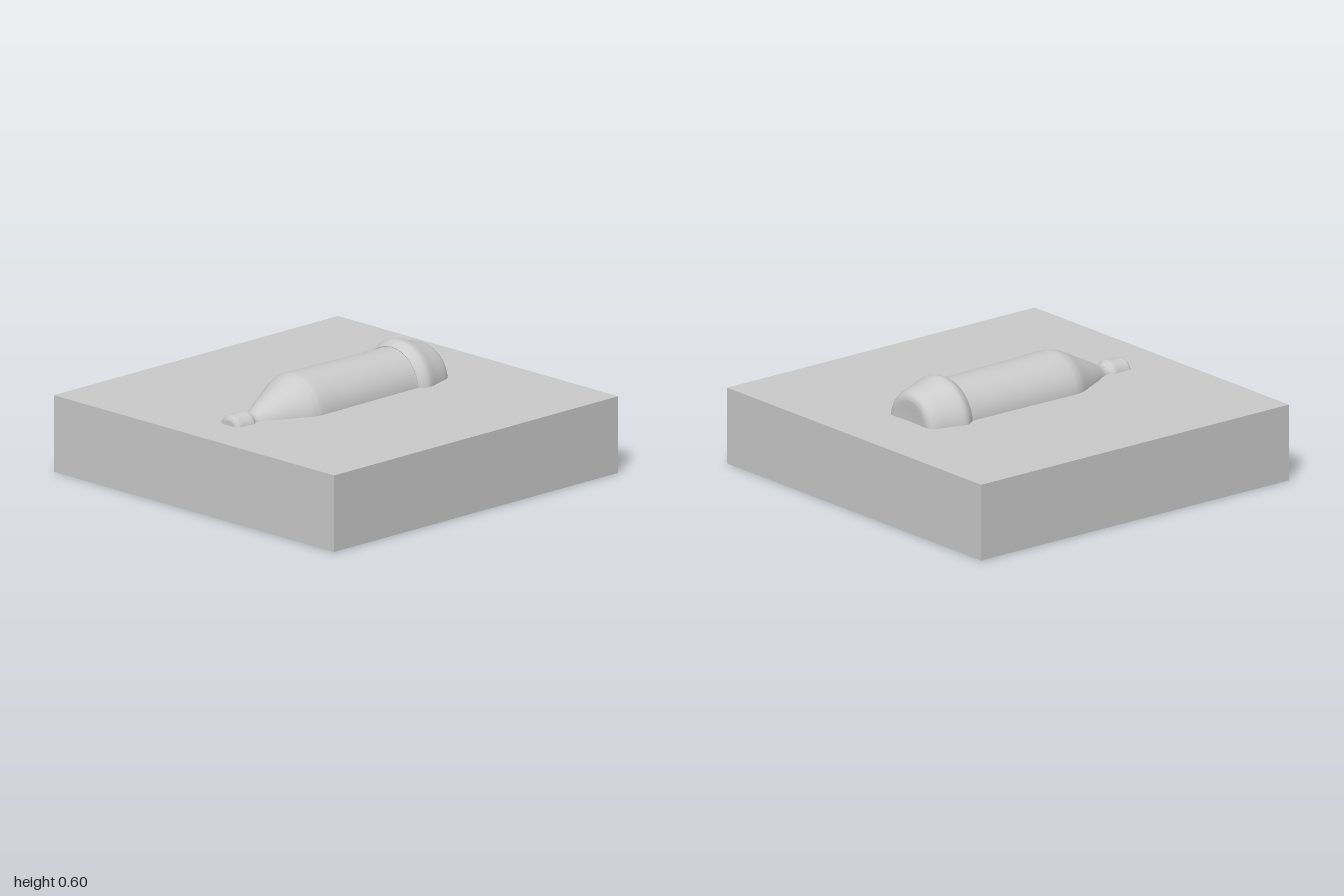
import * as THREE from 'three';

const material = new THREE.MeshStandardMaterial({ color: 0xcccccc });

// Bottle outline: [position along x, radius], from mouth to base
const outline = [
  [-0.755, 0.045], [-0.75, 0.058], [-0.738, 0.069], [-0.7, 0.07], [-0.65, 0.074], [-0.635, 0.07],
  [-0.622, 0.059], [-0.6, 0.057], [-0.57, 0.067], [-0.5, 0.106], [-0.42, 0.146],
  [-0.35, 0.182], [-0.315, 0.194], [-0.27, 0.199], [-0.1, 0.196], [0.15, 0.193],
  [0.37, 0.191], [0.39, 0.196], [0.415, 0.212], [0.44, 0.221], [0.47, 0.218],
  [0.53, 0.199], [0.59, 0.182], [0.62, 0.168], [0.635, 0.152], [0.641, 0.132],
];

export function createModel() {
  const group = new THREE.Group();

  // Square block
  const block = new THREE.Mesh(new THREE.BoxGeometry(2, 0.4, 2), material);
  block.name = 'block';
  block.position.y = 0.2;
  group.add(block);

  // Upper half of a bottle lying along x, its axis just below the block's top
  const curve = new THREE.SplineCurve(outline.map(([x, r]) => new THREE.Vector2(r, x)));
  const profile = [
    new THREE.Vector2(0, -0.755),
    ...curve.getPoints(100),
    new THREE.Vector2(0.1, 0.641),
    new THREE.Vector2(0.08, 0.637),
    new THREE.Vector2(0, 0.635),
  ];
  const bottle = new THREE.Mesh(new THREE.LatheGeometry(profile, 48, Math.PI, Math.PI), material);
  bottle.name = 'bottleRelief';
  bottle.rotation.z = -Math.PI / 2;
  bottle.position.y = 0.38;
  group.add(bottle);

  return group;
}
